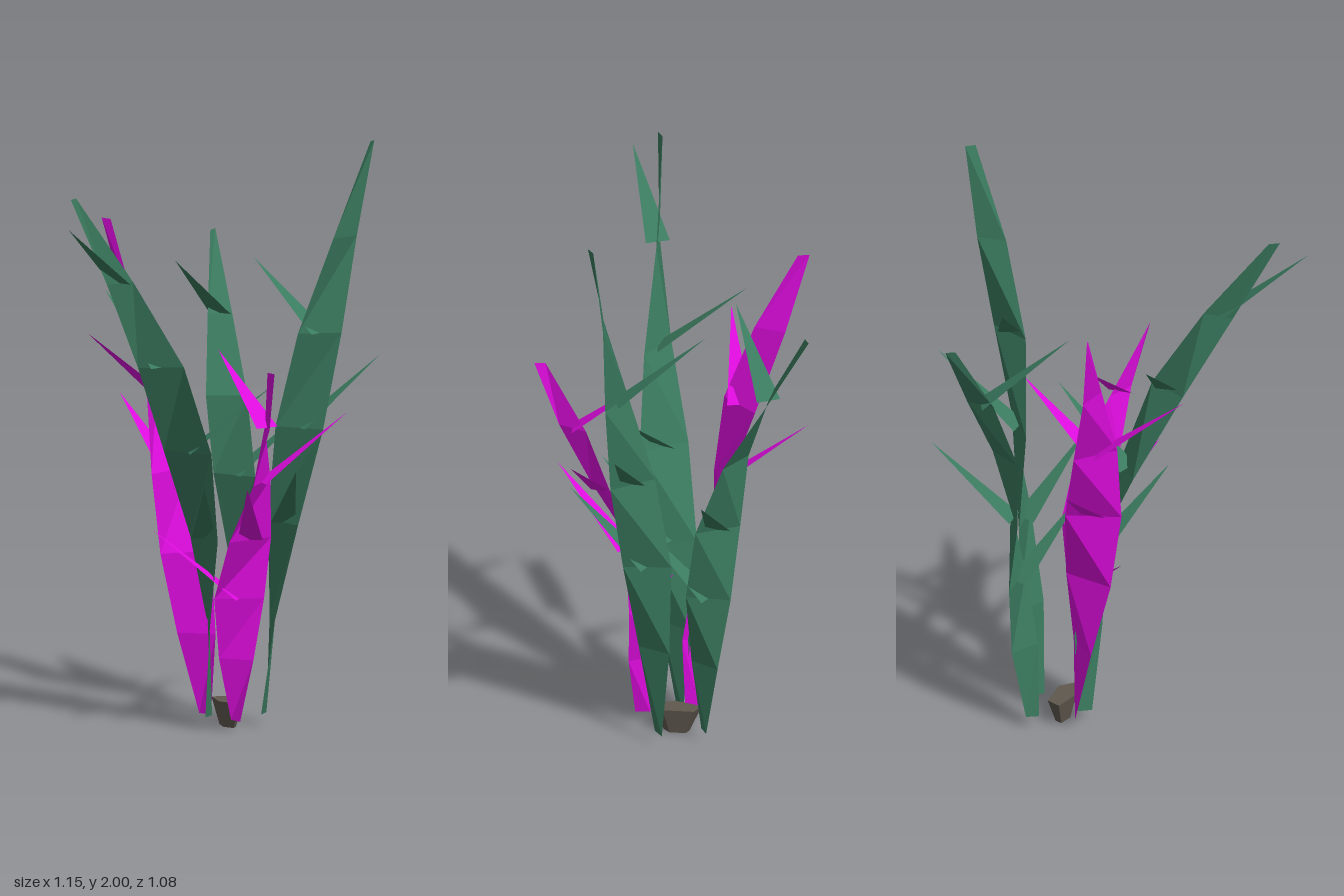
import * as THREE from 'three';

const SECTIONS = 7;
const WIDTHS = [0.05, 0.125, 0.17, 0.18, 0.155, 0.105, 0.038];
const TWIST_STEP = 30;
const FOOT = 0.04;

const makeMaterial = (name, color, side = THREE.DoubleSide) => {
  const material = new THREE.MeshStandardMaterial({ color, side, flatShading: true });
  material.name = name;
  return material;
};

const heading = degrees => {
  const a = THREE.MathUtils.degToRad(degrees);
  return new THREE.Vector3(Math.cos(a), 0, Math.sin(a));
};

function surface(points, index) {
  const geometry = new THREE.BufferGeometry().setFromPoints(points);
  geometry.setIndex(index);
  geometry.computeVertexNormals();
  return geometry;
}

// Flat blade that follows a spine and makes a half turn from foot to tip
function bladeGeometry(centres, midTwist, widthScale) {
  const points = [], index = [];
  centres.forEach((centre, i) => {
    const across = heading(midTwist - TWIST_STEP * (i - 3));
    const half = WIDTHS[i] * widthScale / 2;
    points.push(centre.clone().addScaledVector(across, -half),
      centre.clone().addScaledVector(across, half));
    if (i) {
      const k = 2 * i;
      index.push(k - 2, k - 1, k + 1, k - 2, k + 1, k);
    }
  });
  return surface(points, index);
}

// Triangular leaflet rising outward from the spine
function leafletGeometry(base, direction) {
  const out = heading(direction), across = heading(direction + 90);
  const tip = base.clone().addScaledVector(out, 0.303);
  tip.y += 0.225;
  return surface([
    base.clone().addScaledVector(across, -0.042),
    base.clone().addScaledVector(across, 0.042), tip], [0, 1, 2]);
}

// spine: evenly spaced [x, z] points from foot to tip
// twist: heading of the blade's width at mid height, in degrees
// leaflets: [section, heading in degrees]
function makeLeaf({ name, material, height, spine, twist, widthScale, leaflets }) {
  const leaf = new THREE.Group();
  leaf.name = name;
  const add = (part, geometry) => {
    const mesh = new THREE.Mesh(geometry, material);
    mesh.name = part;
    leaf.add(mesh);
  };
  const curve = new THREE.CatmullRomCurve3(spine.map(([x, z], i) =>
    new THREE.Vector3(x, THREE.MathUtils.lerp(FOOT, height, i / (spine.length - 1)), z)),
  false, 'catmullrom');
  const centres = curve.getPoints(SECTIONS - 1);
  add('blade', bladeGeometry(centres, twist, widthScale));
  leaflets.forEach(([section, direction], i) =>
    add(`leaflet${i + 1}`, leafletGeometry(centres[section], direction)));
  return leaf;
}

// Five-sided stone, narrow below and skewed along its length
function makeStone() {
  const geometry = new THREE.CylinderGeometry(0.088, 0.045, 0.09, 5);
  geometry.applyMatrix4(new THREE.Matrix4().set(
    0.5, 0, 0.28, 0.05,
    0, 1, 0, 0.045,
    0, 0, 1, 0,
    0, 0, 0, 1));
  const stone = new THREE.Mesh(geometry, makeMaterial('stone', 0x60584f, THREE.FrontSide));
  stone.name = 'stone';
  return stone;
}

export function createModel() {
  const model = new THREE.Group();
  const green = makeMaterial('leafGreen', 0x3a7a5e);
  const magenta = makeMaterial('leafMagenta', 0xdc0cdc);

  model.add(
    makeLeaf({
      name: 'tallGreenLeaf', material: green, height: 2, widthScale: 0.96,
      spine: [[0.172, 0], [0.237, 0.005], [0.355, 0.055], [0.535, 0.05]],
      twist: 30,
      leaflets: [[4, -129], [3, -19], [2, 90]],
    }),
    makeLeaf({
      name: 'rearGreenLeaf', material: green, height: 1.61, widthScale: 0.9,
      spine: [[0.078, -0.122], [0.112, -0.16], [0.082, -0.25], [0.075, -0.525]],
      twist: 38,
      leaflets: [[5, 128], [3, -20], [2, 92]],
    }),
    makeLeaf({
      name: 'sideGreenLeaf', material: green, height: 1.89, widthScale: 1,
      spine: [[-0.02, 0.03], [-0.043, 0.075], [-0.212, 0.232], [-0.537, 0.415]],
      twist: 35,
      leaflets: [[5, 133], [4, -120], [3, -4], [2, 98]],
    }),
    makeLeaf({
      name: 'frontMagentaLeaf', material: magenta, height: 1.29, widthScale: 1,
      spine: [[0.057, 0.13], [0.07, 0.125], [0.13, 0.245], [0.125, 0.493]],
      twist: -30,
      leaflets: [[5, -115], [4, -10], [3, 100], [2, -158]],
    }),
    makeLeaf({
      name: 'rearMagentaLeaf', material: magenta, height: 1.7, widthScale: 1.06,
      spine: [[-0.025, -0.02], [-0.09, -0.025], [-0.195, -0.1], [-0.325, -0.275]],
      twist: -40,
      leaflets: [[4, 144], [3, -116]],
    }),
    makeStone());
  return model;
}
